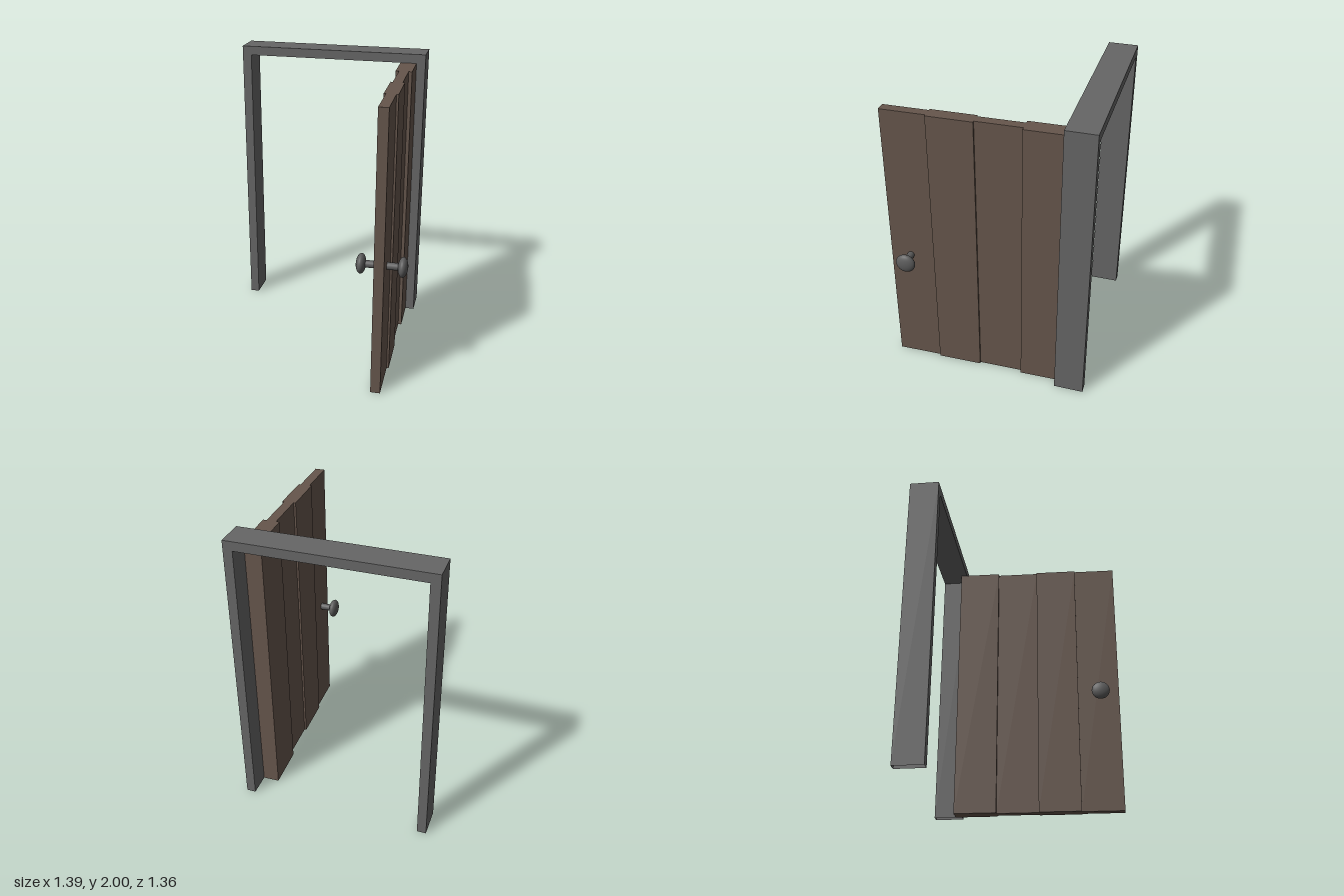
import * as THREE from 'three';

const frameMat = new THREE.MeshStandardMaterial({ color: 0x666666, side: THREE.DoubleSide });
const woodMat = new THREE.MeshStandardMaterial({ color: 0x66564c });
const knobMat = new THREE.MeshStandardMaterial({ color: 0x5c5c5c });

function addMesh(parent, name, geometry, material, x = 0, y = 0, z = 0) {
  const mesh = new THREE.Mesh(geometry, material);
  mesh.name = name;
  mesh.position.set(x, y, z);
  parent.add(mesh);
  return mesh;
}

// Upside-down U outline, extruded, with the feet left open underneath
function frameGeometry(x0, x1, height, thick, depth) {
  const outline = [
    [x0, 0], [x0 + thick, 0], [x0 + thick, height - thick], [x1 - thick, height - thick],
    [x1 - thick, 0], [x1, 0], [x1, height], [x0, height],
  ].map(([x, y]) => new THREE.Vector2(x, y));
  const geo = new THREE.ExtrudeGeometry(new THREE.Shape(outline), { depth, bevelEnabled: false });
  const pos = geo.attributes.position;
  const index = [];
  for (let i = 0; i < pos.count; i += 3) {
    const top = Math.max(pos.getY(i), pos.getY(i + 1), pos.getY(i + 2));
    if (top > 1e-4) index.push(i, i + 1, i + 2);
  }
  geo.setIndex(index);
  geo.clearGroups();
  return geo;
}

export function createModel() {
  const model = new THREE.Group();
  model.name = 'openDoor';

  addMesh(model, 'doorFrame', frameGeometry(-0.697, 0.632, 2, 0.063, 0.2), frameMat, 0, 0, -0.683);

  // Door leaf, swung open nearly square to the frame
  const door = new THREE.Group();
  door.name = 'door';
  door.position.x = 0.522;
  door.rotation.y = 0.017;
  model.add(door);

  // Planks of uneven thickness, from hinge side to free edge
  const plankWidth = 0.302, doorHeight = 1.937;
  [0.112, 0.065, 0.093, 0.065].forEach((thick, i) => {
    addMesh(door, `plank${i + 1}`, new THREE.BoxGeometry(thick, doorHeight, plankWidth), woodMat,
      0, doorHeight / 2, -0.376 + i * plankWidth);
  });

  // A flattened knob on a short stem, on both faces
  for (const side of [-1, 1]) {
    const handle = new THREE.Group();
    handle.name = side < 0 ? 'rightHandle' : 'leftHandle';
    handle.position.set(0, 0.87, 0.545);
    door.add(handle);
    const stem = addMesh(handle, 'stem', new THREE.CylinderGeometry(0.024, 0.024, 0.1, 24), knobMat, side * 0.083);
    stem.rotation.z = Math.PI / 2;
    const knob = addMesh(handle, 'knob', new THREE.SphereGeometry(0.066, 32, 20), knobMat, side * 0.134);
    knob.rotation.z = Math.PI / 2;
    knob.scale.y = 0.49;
  }
  return model;
}
